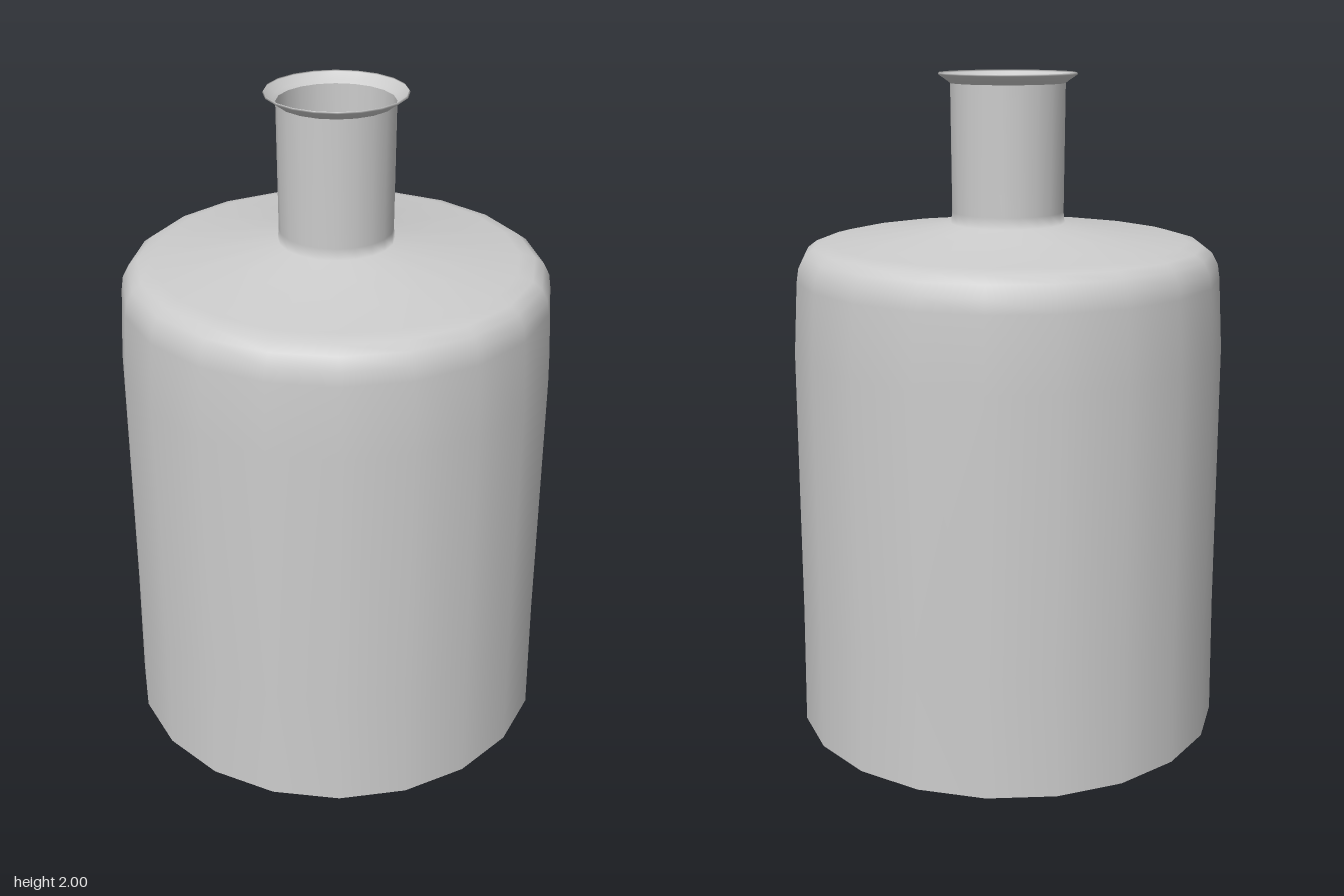
import * as THREE from 'three';

const SIDES = 20;

// Thin-walled surface of revolution from [radius, height] pairs, listed outside-up
function turned(name, profile, material) {
  const points = profile.map(([r, y]) => new THREE.Vector2(r, y));
  const mesh = new THREE.Mesh(new THREE.LatheGeometry(points, SIDES), material);
  mesh.name = name;
  return mesh;
}

export function createModel() {
  const group = new THREE.Group();
  group.name = 'bottle';
  const material = new THREE.MeshStandardMaterial({ color: 0xcccccc, side: THREE.DoubleSide });

  // Flat foot with a shallow bevel out to the wall
  group.add(turned('base', [[0, 0], [0.39, 0], [0.642, 0.035]], material));

  // Wall, rounded shoulder, sloping top and neck in one smooth skin
  group.add(turned('body', [
    [0.642, 0.035], [0.638, 0.4], [0.638, 1.2], [0.626, 1.41], [0.62, 1.45],
    [0.602, 1.485], [0.575, 1.505], [0.53, 1.517], [0.168, 1.567],
    [0.165, 1.6], [0.168, 1.97],
  ], material));

  // Flared lip around the open mouth
  group.add(turned('lip', [[0.168, 1.97], [0.177, 1.977], [0.203, 1.995], [0.2, 2]], material));

  return group;
}
